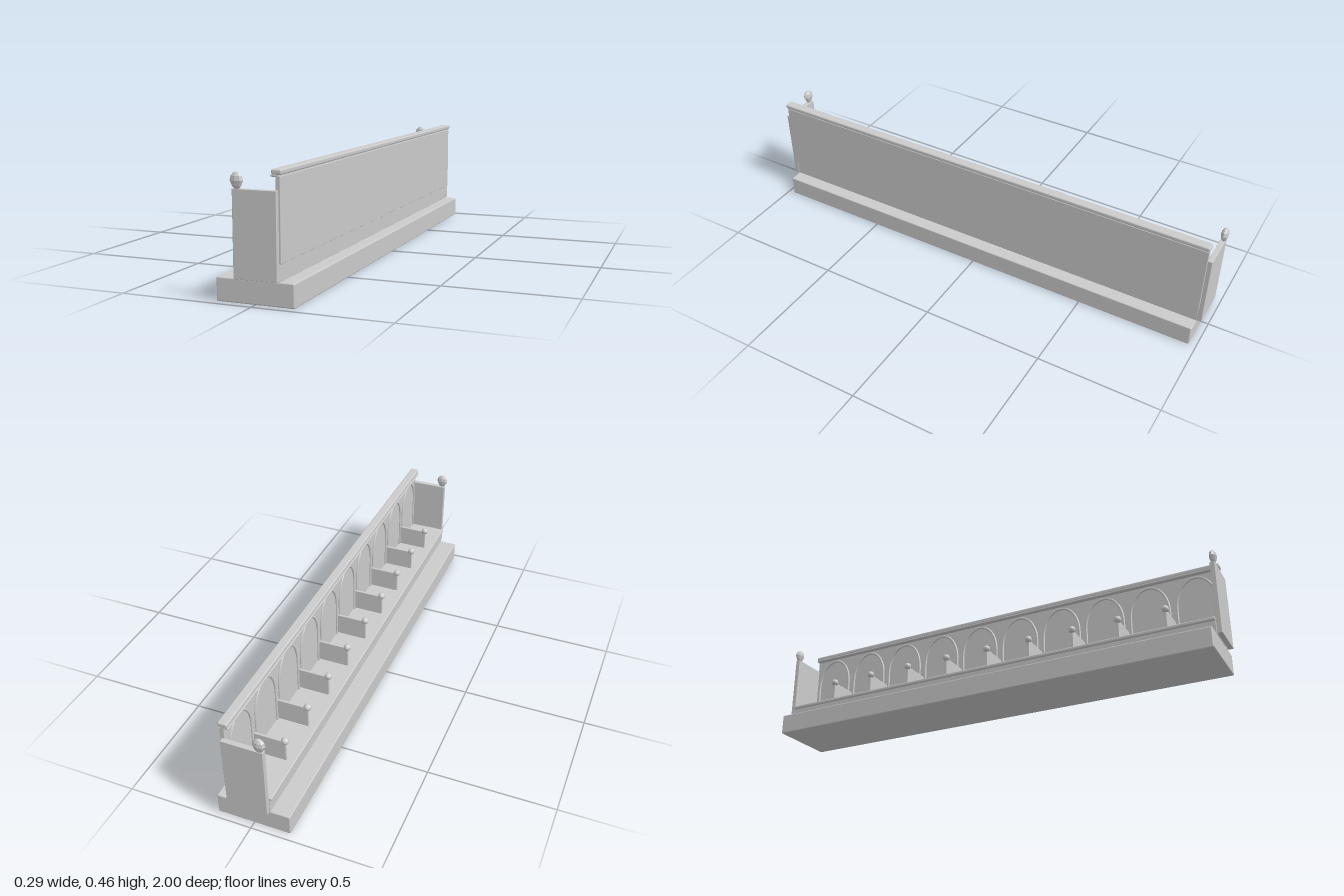
import * as THREE from 'three';
import { RoundedBoxGeometry } from 'three/addons/geometries/RoundedBoxGeometry.js';

const BAYS = 10;
const HALF = 0.972; // inner half length of the row
const PITCH = (2 * HALF) / BAYS;

export function createModel() {
  const group = new THREE.Group();
  const mat = new THREE.MeshStandardMaterial({ color: 0xcccccc });
  const flat = new THREE.MeshStandardMaterial({ color: 0xcccccc, flatShading: true });

  const add = (name, geometry, material = mat) => {
    const mesh = new THREE.Mesh(geometry, material);
    mesh.name = name;
    group.add(mesh);
    return mesh;
  };
  // Softly rounded block given by its limits on each axis
  const block = (name, x0, x1, y0, y1, z0, z1, r = 0.002) =>
    add(name, new RoundedBoxGeometry(x1 - x0, y1 - y0, z1 - z0, 2, r))
      .position.set((x0 + x1) / 2, (y0 + y1) / 2, (z0 + z1) / 2);

  // Plinth, riser and seat board
  block('plinth', -0.145, 0.145, 0, 0.085, -0.972, 0.972, 0.005);
  block('riser', -0.07, 0.092, 0.084, 0.145, -HALF, HALF);
  block('seatBoard', -0.078, 0.09, 0.14, 0.155, -HALF, HALF, 0.005);

  // High back with a two-step rail
  block('backPanel', 0.083, 0.1, 0.147, 0.436, -0.975, 0.975);
  block('railMoulding', 0.065, 0.098, 0.433, 0.441, -0.975, 0.975, 0.003);
  block('topRail', 0.068, 0.106, 0.44, 0.459, -0.978, 0.978, 0.006);

  // Arched moulding: straight legs with a tall rounded head
  const halfWidth = 0.082, spring = 0.3, rise = 0.122;
  const points = [];
  for (let i = 0; i < 4; i++) points.push(new THREE.Vector3(0, 0.15 + (i * (spring - 0.15)) / 4, -halfWidth));
  for (let i = 0; i <= 12; i++) {
    const a = (Math.PI * i) / 12;
    points.push(new THREE.Vector3(0, spring + rise * Math.sin(a), -halfWidth * Math.cos(a)));
  }
  for (let i = 3; i >= 0; i--) points.push(new THREE.Vector3(0, 0.15 + (i * (spring - 0.15)) / 4, halfWidth));
  const archGeo = new THREE.TubeGeometry(new THREE.CatmullRomCurve3(points), 60, 0.005, 8);
  for (let i = 0; i < BAYS; i++) {
    add('archMoulding', archGeo).position.set(0.081, 0, -HALF + (i + 0.5) * PITCH);
  }

  // Seat dividers, each with a ball on its front top corner
  const ballGeo = new THREE.SphereGeometry(0.015, 16, 12);
  for (let i = 1; i < BAYS; i++) {
    const z = -HALF + i * PITCH;
    block('divider', -0.045, 0.085, 0.15, 0.245, z - 0.005, z + 0.005);
    add('dividerBall', ballGeo).position.set(-0.042, 0.247, z);
  }

  // End panels with faceted bud finials
  const budProfile = [
    [0, 0], [0.008, 0], [0.008, 0.006], [0.017, 0.018], [0.025, 0.036],
    [0.021, 0.052], [0.011, 0.062], [0, 0.066],
  ].map(([x, y]) => new THREE.Vector2(x, y));
  const budGeo = new THREE.LatheGeometry(budProfile, 8);
  for (const side of [-1, 1]) {
    const z = side * 0.982;
    block('endPanel', -0.068, 0.093, 0.087, 0.39, z - 0.01, z + 0.01);
    const bud = add('finial', budGeo, flat);
    bud.position.set(-0.053, 0.381, side * 0.985);
    bud.scale.z = 0.6;
  }
  return group;
}
